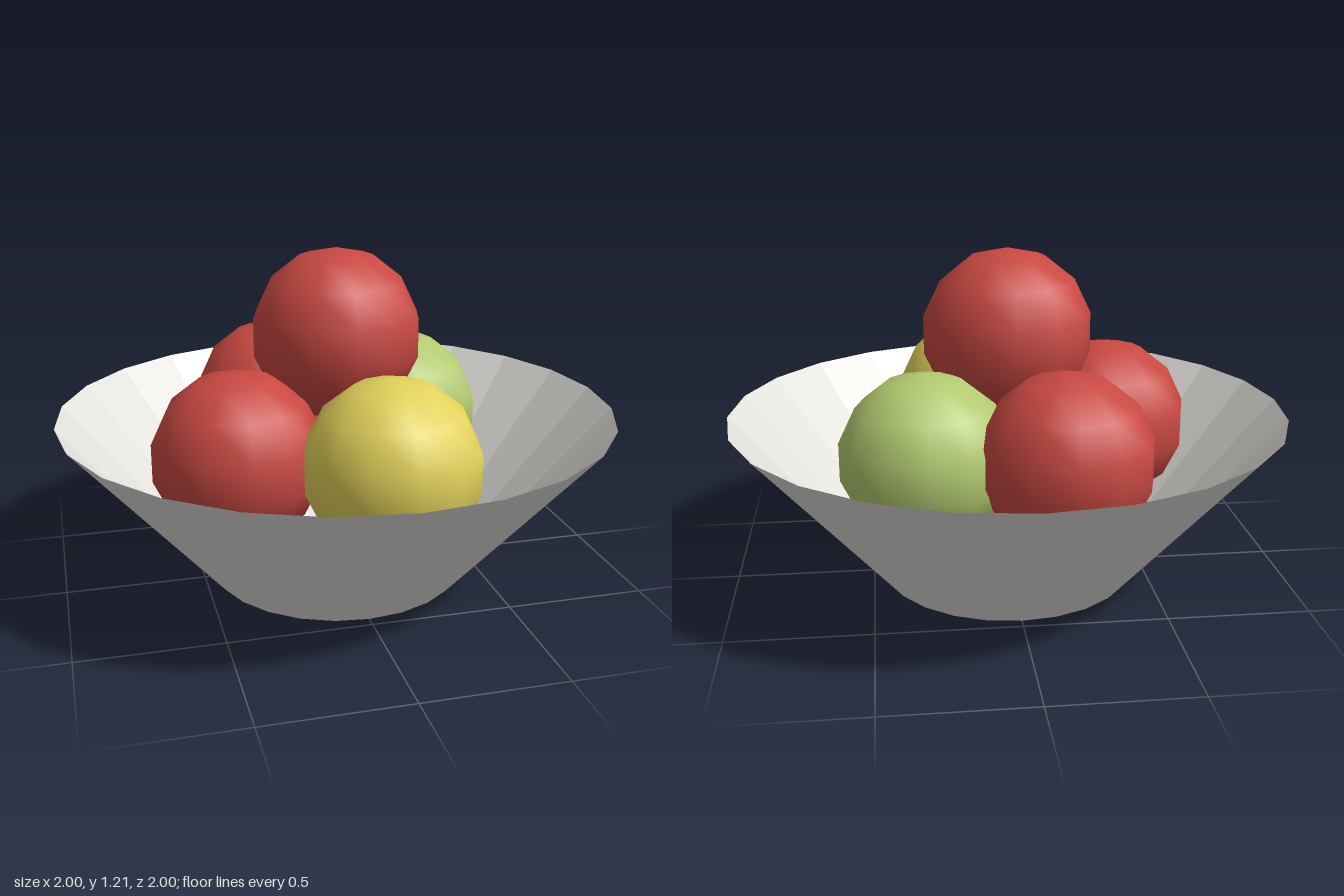
import * as THREE from 'three';

export function createModel() {
  const group = new THREE.Group();
  group.name = 'fruitBowl';

  const material = (name, color, extra = {}) => {
    const m = new THREE.MeshStandardMaterial({ color, ...extra });
    m.name = name;
    return m;
  };
  const white = material('bowlWhite', 0xe4e2dd, { flatShading: true, side: THREE.DoubleSide });
  const red = material('fruitRed', 0xc94842);
  const green = material('fruitGreen', 0xb2ca70);
  const yellow = material('fruitYellow', 0xe2d15a);

  const add = (name, geometry, mat, x, y, z) => {
    const mesh = new THREE.Mesh(geometry, mat);
    mesh.name = name;
    mesh.position.set(x, y, z);
    group.add(mesh);
    return mesh;
  };

  // Thin faceted bowl: open flared wall and a flat base
  const sides = 24, height = 0.62, baseRadius = 0.46;
  add('bowlWall', new THREE.CylinderGeometry(1, baseRadius, height, sides, 1, true), white, 0, height / 2, 0);
  add('bowlBase', new THREE.CircleGeometry(baseRadius, sides).rotateX(Math.PI / 2), white, 0, 0, 0);

  // Low-poly fruit: four in the bowl, one resting on top
  const fruit = new THREE.SphereGeometry(0.306, 12, 7);
  [
    ['topFruit', red, 0, 0.9, 0],
    ['rightFruit', red, -0.388, 0.52, 0.15],
    ['backFruit', red, -0.157, 0.552, -0.39],
    ['leftFruit', green, 0.306, 0.52, -0.236],
    ['frontFruit', yellow, 0.075, 0.552, 0.46],
  ].forEach(([name, mat, x, y, z]) => add(name, fruit, mat, x, y, z));

  return group;
}
